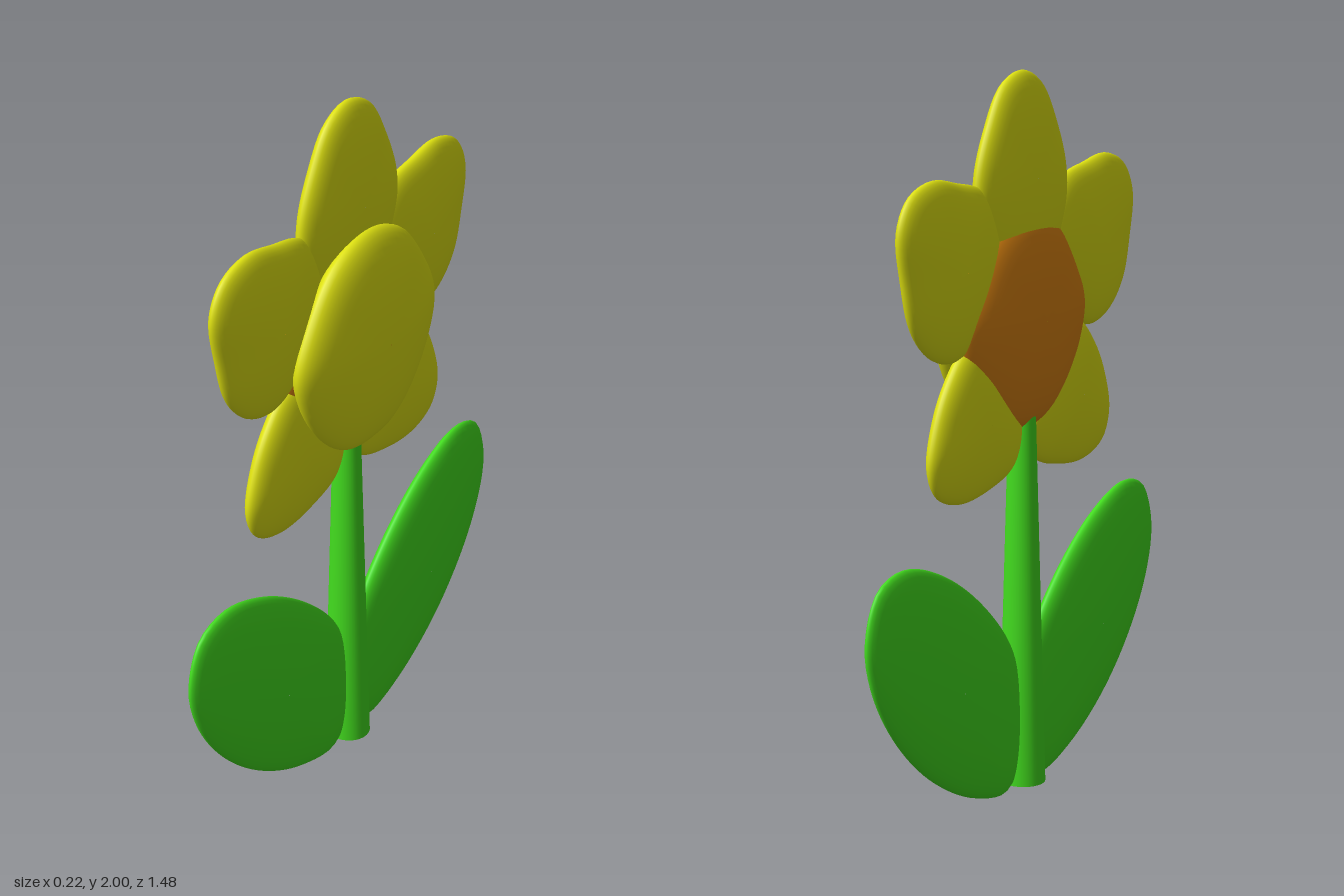
import * as THREE from 'three';

const material = (color) => new THREE.MeshStandardMaterial({ color });
const mirror = (pts, shift = 0) => pts.map(([z, y]) => [2 * shift - z, y]);

// Smooth cushion: a closed outline in the (z, y) plane, domed towards +x and -x
function cushion(outline, cx, half, segs = 72, rings = 28) {
  const curve = new THREE.CatmullRomCurve3(
    outline.map(([z, y]) => new THREE.Vector3(0, y, z)), true, 'centripetal');
  const rim = curve.getSpacedPoints(segs).slice(0, segs);
  let area = 0;
  rim.forEach((p, i) => {
    const q = rim[(i + 1) % segs];
    area += q.z * p.y - p.z * q.y;
  });
  if (area < 0) rim.reverse(); // keep the faces pointing outwards
  const box = new THREE.Box3().setFromPoints(rim);
  const c = box.getCenter(new THREE.Vector3());
  const pos = [], index = [];
  for (let k = 0; k <= rings; k++) {
    const t = 0.004 + (Math.PI - 0.008) * k / rings;
    for (const p of rim) {
      const s = Math.sin(t);
      pos.push(cx + half * Math.cos(t), c.y + (p.y - c.y) * s, c.z + (p.z - c.z) * s);
    }
  }
  for (let k = 0; k < rings; k++) {
    for (let j = 0; j < segs; j++) {
      const n = (j + 1) % segs;
      const a = k * segs + j, b = a + segs, d = k * segs + n, e = d + segs;
      index.push(a, b, e, a, e, d);
    }
  }
  const geo = new THREE.BufferGeometry();
  geo.setAttribute('position', new THREE.Float32BufferAttribute(pos, 3));
  geo.setIndex(index);
  geo.computeVertexNormals();
  return geo;
}

export function createModel() {
  const model = new THREE.Group();
  const yellow = material(0xdde010), orange = material(0xd98210), green = material(0x42dc1e);
  const add = (name, geo, mat) => {
    const mesh = new THREE.Mesh(geo, mat);
    mesh.name = name;
    model.add(mesh);
    return mesh;
  };

  // Tapered stem
  const stem = add('stem', new THREE.CylinderGeometry(0.035, 0.068, 1.185, 40), green);
  stem.position.set(-0.03, 0.6075, 0);
  stem.scale.z = 0.92;

  // Pair of broad leaves
  const leaf = [[0.74, 0.61], [0.69, 0.73], [0.58, 0.765], [0.4, 0.71], [0.2, 0.575], [0.06, 0.42],
    [0.005, 0.25], [0.01, 0.08], [0.08, 0.006], [0.25, 0.04], [0.46, 0.16], [0.63, 0.33], [0.72, 0.49]];
  add('leftLeaf', cushion(leaf, -0.028, 0.054), green);
  add('rightLeaf', cushion(mirror(leaf), -0.028, 0.054), green);

  // Five petals: one on top, two at the sides, two below
  const topHalf = [[0.09, 1.965], [0.16, 1.865], [0.213, 1.74], [0.215, 1.63], [0.15, 1.5]];
  const top = [[0, 2], ...topHalf, [0, 1.43], ...mirror(topHalf, -0.004).reverse()];
  const side = [[0.2, 1.69], [0.34, 1.73], [0.45, 1.745], [0.55, 1.71], [0.597, 1.63], [0.58, 1.5],
    [0.54, 1.37], [0.46, 1.29], [0.36, 1.265], [0.27, 1.3], [0.17, 1.4], [0.13, 1.55]];
  const lower = [[0.3, 1.29], [0.38, 1.22], [0.44, 1.12], [0.47, 1.0], [0.435, 0.92], [0.34, 0.882],
    [0.2, 0.89], [0.07, 0.935], [0.03, 1.03], [0.09, 1.18], [0.2, 1.28]];
  add('topPetal', cushion(top, -0.028, 0.056), yellow);
  for (const [name, outline] of [['SidePetal', side], ['LowerPetal', lower]]) {
    add('left' + name, cushion(outline, -0.026, 0.054), yellow);
    add('right' + name, cushion(mirror(outline, 0.01), -0.026, 0.054), yellow);
  }

  // Domed flower centre and the cup behind it
  const discHalf = [[0.15, 1.605], [0.255, 1.49], [0.318, 1.36], [0.29, 1.24], [0.2, 1.11], [0.1, 1.04]];
  const disc = [[0, 1.65], ...discHalf, [0, 1.025], ...mirror(discHalf, -0.003).reverse()];
  add('flowerCentre', cushion(disc, 0.03, 0.08), yellow);
  const cup = disc.map(([z, y]) => [z * 0.96, 1.33 + (y - 1.335) * 0.96]);
  add('backCup', cushion(cup, -0.03, 0.083), orange);

  return model;
}
